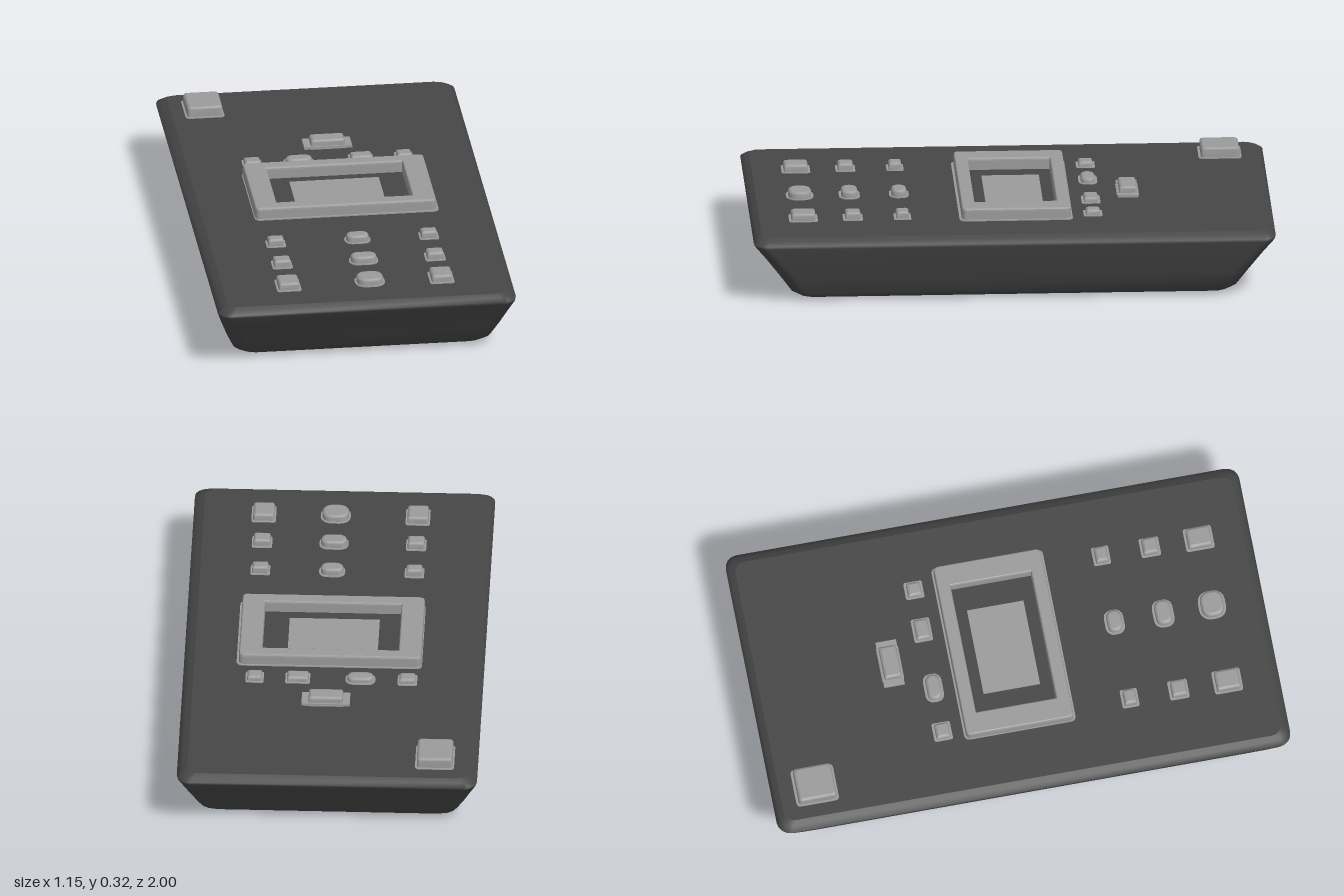
import * as THREE from 'three';

const casing = new THREE.MeshStandardMaterial({ color: 0x464646 });
casing.name = 'dark grey casing';
const pale = new THREE.MeshStandardMaterial({ color: 0x9b9b9b });
pale.name = 'light grey trim';

const DECK = 0.27;

// Rounded rectangle outline, counter-clockwise
function outline(hw, hd, r, steps = 4) {
  const points = [];
  for (const [sx, sy, start] of [[1, 1, 0], [-1, 1, 1], [-1, -1, 2], [1, -1, 3]]) {
    for (let i = 0; i <= steps; i++) {
      const a = (start + i / steps) * Math.PI / 2;
      points.push(new THREE.Vector2(sx * (hw - r) + r * Math.cos(a), sy * (hd - r) + r * Math.sin(a)));
    }
  }
  return points;
}

// Lofted shell from [half width, half depth, height, corner radius] sections
function loft(sections) {
  const positions = [], index = [];
  const rings = sections.map(([hw, hd, y, r]) => outline(hw, hd, r).map(p => [p.x, y, -p.y]));
  const n = rings[0].length;
  rings.forEach(ring => ring.forEach(p => positions.push(...p)));
  for (let k = 0; k < rings.length - 1; k++) {
    for (let i = 0; i < n; i++) {
      const a = k * n + i, b = k * n + (i + 1) % n;
      index.push(a, b, b + n, a, b + n, a + n);
    }
  }
  // Caps keep their own vertices so the flat faces stay crisp
  for (const top of [false, true]) {
    const base = positions.length / 3;
    const ring = rings[top ? rings.length - 1 : 0];
    ring.forEach(p => positions.push(...p));
    for (let i = 1; i < n - 1; i++) {
      if (top) index.push(base, base + i, base + i + 1);
      else index.push(base, base + i + 1, base + i);
    }
  }
  const geometry = new THREE.BufferGeometry();
  geometry.setAttribute('position', new THREE.Float32BufferAttribute(positions, 3));
  geometry.setIndex(index);
  geometry.computeVertexNormals();
  return geometry;
}

function add(parent, name, geometry, material, x = 0, y = 0, z = 0) {
  const mesh = new THREE.Mesh(geometry, material);
  mesh.name = name;
  mesh.position.set(x, y, z);
  parent.add(mesh);
  return mesh;
}

// Button: thin flange with a softened cap on top
function button(parent, name, x, z, w, d, top, round) {
  const group = new THREE.Group();
  group.name = name;
  group.position.set(x, DECK, z);
  parent.add(group);
  const r = Math.min(w, d) * (round ? 0.4 : 0.1);
  const h = top - DECK, hw = w / 2, hd = d / 2;
  add(group, 'flange', loft([[hw, hd, -0.005, r], [hw, hd, 0.003, r]]), pale);
  const cw = hw - 0.007, cd = hd - 0.009, cr = r * 0.8;
  add(group, 'cap', loft([
    [cw, cd, 0, cr], [cw, cd, h - 0.009, cr],
    [cw - 0.003, cd - 0.003, h - 0.003, cr], [cw - 0.01, cd - 0.01, h, cr * 0.8],
  ]), pale);
}

export function createModel() {
  const model = new THREE.Group();
  model.name = 'handheldDevice';

  // Tapered casing with a soft underside and bevelled deck edge
  add(model, 'casing', loft([
    [0.43, 0.79, 0, 0.05], [0.47, 0.825, 0.008, 0.06], [0.498, 0.855, 0.03, 0.065],
    [0.527, 0.9, 0.1, 0.06], [0.555, 0.955, 0.18, 0.055], [0.573, 0.996, 0.235, 0.05],
    [0.575, 1, 0.247, 0.05], [0.555, 0.985, 0.26, 0.045], [0.535, 0.968, DECK, 0.04],
  ]), casing);

  // Raised display surround with a softened rim
  const bezel = new THREE.Shape(outline(0.343, 0.203, 0.012));
  bezel.holes.push(new THREE.Path(outline(0.267, 0.162, 0.005).reverse()));
  const bezelGeometry = new THREE.ExtrudeGeometry(bezel, {
    depth: 0.038, bevelEnabled: true, bevelThickness: 0.012, bevelSize: 0.006, bevelSegments: 3,
  });
  bezelGeometry.rotateX(-Math.PI / 2);
  add(model, 'displaySurround', bezelGeometry, pale, 0.015, 0.268, -0.015);
  const skirt = new THREE.Shape(outline(0.355, 0.217, 0.02));
  skirt.holes.push(new THREE.Path(outline(0.3, 0.18, 0.01).reverse()));
  const skirtGeometry = new THREE.ExtrudeGeometry(skirt, { depth: 0.006, bevelEnabled: false });
  skirtGeometry.rotateX(-Math.PI / 2);
  add(model, 'displaySkirt', skirtGeometry, pale, 0.018, 0.268, -0.014);
  add(model, 'screen', new THREE.BoxGeometry(0.345, 0.006, 0.22), pale, 0.008, 0.272, -0.016);

  // Power button and slide switch
  button(model, 'powerButton', -0.41, -0.83, 0.15, 0.165, 0.312, false);
  add(model, 'slideSwitchBase', new THREE.BoxGeometry(0.185, 0.016, 0.08), pale, 0.022, 0.272, -0.455);
  button(model, 'slideSwitch', 0.022, -0.455, 0.145, 0.085, 0.304, false);

  // Row of small buttons above the display
  for (const [x, w, round] of [[-0.285, 0.075, false], [-0.105, 0.115, true], [0.135, 0.095, false], [0.3, 0.07, false]]) {
    button(model, 'functionButton', x, -0.31, w, 0.072, 0.292, round);
  }

  // Keypad: three rows, with rounded keys in the middle column
  for (const [z, sideWidth, sideDepth, midWidth, midDepth] of [
    [0.42, 0.075, 0.066, 0.1, 0.075],
    [0.61, 0.078, 0.076, 0.112, 0.08],
    [0.8, 0.094, 0.11, 0.115, 0.105],
  ]) {
    button(model, 'leftColumnKey', -0.285, z, sideWidth, sideDepth, 0.3, false);
    button(model, 'middleColumnKey', 0.03, z, midWidth, midDepth, 0.298, true);
    button(model, 'rightColumnKey', 0.305, z, sideWidth, sideDepth, 0.3, false);
  }
  return model;
}
